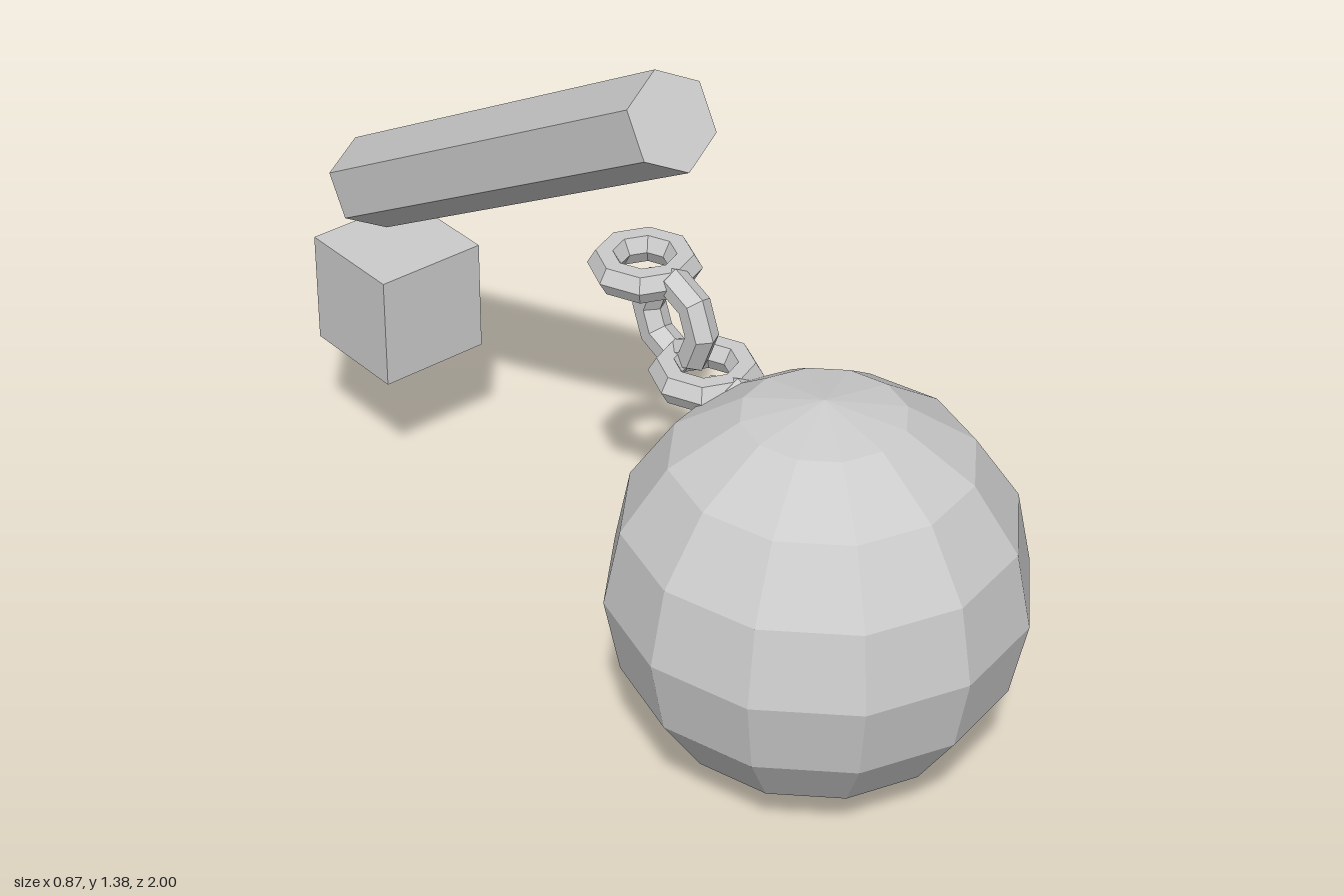
import * as THREE from 'three';

const material = new THREE.MeshStandardMaterial({ color: 0xcccccc, flatShading: true });

export function createModel() {
  const model = new THREE.Group();
  model.name = 'wreckingBall';

  function add(name, geometry, x, y, z) {
    const mesh = new THREE.Mesh(geometry, material);
    mesh.name = name;
    mesh.position.set(x, y, z);
    model.add(mesh);
    return mesh;
  }

  // Heavy faceted ball
  add('ball', new THREE.SphereGeometry(0.436, 12, 8), 0, 0.44, 0.562);

  // Chain links, alternately flat and upright, the last one sunk into the ball
  const link = new THREE.TorusGeometry(0.083, 0.035, 6, 8);
  for (let i = 0; i < 4; i++) {
    const mesh = add(`chainLink${i + 1}`, link, 0, 0.925 - 0.082 * i, 0.016 + 0.097 * i);
    if (i % 2 === 0) mesh.rotation.x = Math.PI / 2;
    else mesh.rotation.y = Math.PI / 2;
  }

  // Hexagonal handle, sloping down to the back
  const handle = add('handle', new THREE.CylinderGeometry(0.107, 0.107, 1.21, 6), 0, 0.99, -0.425);
  handle.rotation.x = Math.PI / 3;

  // Cube under the rear end of the handle
  add('block', new THREE.BoxGeometry(0.264, 0.264, 0.264), 0, 0.443, -0.86);

  return model;
}
